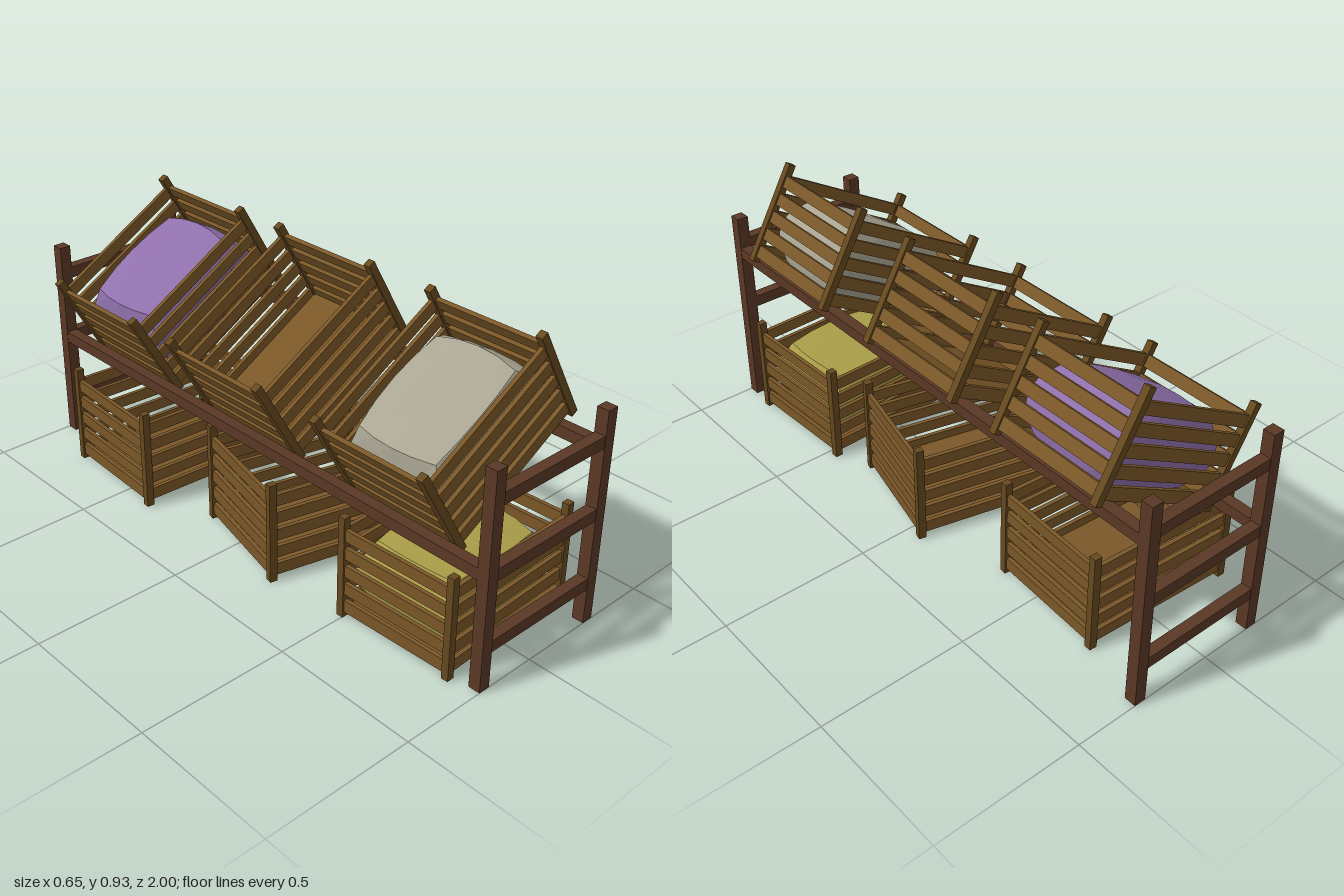
import * as THREE from 'three';

const mat = (color) => new THREE.MeshStandardMaterial({ color, flatShading: true });

function box(parent, name, material, size, pos) {
  const mesh = new THREE.Mesh(new THREE.BoxGeometry(...size), material);
  mesh.name = name;
  mesh.position.set(...pos);
  parent.add(mesh);
  return mesh;
}

// Faceted, pillow-shaped heap of goods filling a crate
function makeGoods(color) {
  const geo = new THREE.BoxGeometry(2, 2, 2, 4, 4, 4);
  const p = geo.attributes.position;
  for (let i = 0; i < p.count; i++) {
    const x = p.getX(i), y = p.getY(i), z = p.getZ(i);
    p.setXYZ(i,
      0.245 * x * Math.sqrt(1 - 0.36 * y * y - 0.12 * z * z),
      0.125 * y * Math.sqrt(1 - 0.1 * x * x - 0.15 * z * z),
      0.19 * z * Math.sqrt(1 - 0.3 * y * y - 0.12 * x * x));
  }
  geo.computeVertexNormals();
  const mesh = new THREE.Mesh(geo, mat(color));
  mesh.name = 'goods';
  mesh.position.y = 0.147;
  return mesh;
}

// Slatted crate standing on its local y = 0
function makeCrate(name, slatMat, postMat, goodsColor) {
  const L = 0.545, D = 0.43, H = 0.35, px = 0.026, pz = 0.024, t = 0.014;
  const cx = (L - px) / 2, cz = (D - pz) / 2;
  const crate = new THREE.Group();
  crate.name = name;
  for (const sx of [-1, 1])
    for (const sz of [-1, 1])
      box(crate, 'cratePost', postMat, [px, H, pz], [sx * cx, H / 2, sz * cz]);
  for (let i = 0; i < 5; i++) {
    const y = 0.04 + i * 0.0625;
    for (const s of [-1, 1]) {
      box(crate, 'longSlat', slatMat, [L - 2 * px, 0.04, t], [0, y, s * cz]);
      box(crate, 'endSlat', slatMat, [t, 0.04, D - 2 * pz], [s * cx, y, 0]);
    }
  }
  box(crate, 'crateFloor', slatMat, [L - 0.012, 0.012, D - 0.012], [0, 0.024, 0]);
  if (goodsColor !== undefined) crate.add(makeGoods(goodsColor));
  return crate;
}

export function createModel() {
  const model = new THREE.Group();
  model.name = 'crateRack';
  const frameMat = mat(0x5a3825), slatMat = mat(0x7a5728), postMat = mat(0x66491f);

  // Rack frame: corner posts, end rails, and two long rails at different heights
  const frame = new THREE.Group();
  frame.name = 'frame';
  model.add(frame);
  const xL = 0.267, xR = -0.196, mid = (xL + xR) / 2;
  for (const z of [-0.98, 0.98]) {
    for (const x of [xL, xR]) box(frame, 'framePost', frameMat, [0.04, 0.72, 0.04], [x, 0.36, z]);
    for (const y of [0.14, 0.38, 0.62])
      box(frame, 'endRail', frameMat, [xL - xR - 0.04, 0.04, 0.036], [mid, y, z]);
  }
  box(frame, 'highRail', frameMat, [0.038, 0.038, 1.92], [xL, 0.59, 0]);
  box(frame, 'lowRail', frameMat, [0.038, 0.038, 1.92], [xR, 0.382, 0]);

  // Tilted crates resting on the long rails: [z, goods colour]
  for (const [z, goods] of [[0.632, 0xaaa592], [-0.02, undefined], [-0.62, 0x8f70ab]]) {
    const crate = makeCrate('tiltedCrate', slatMat, postMat, goods);
    crate.position.set(0.085, 0.4955, z);
    crate.rotation.z = Math.PI / 6;
    model.add(crate);
  }

  // Crates on the ground, each turned a little: [x, z, turn, goods colour]
  const ground = [
    [0.018, 0.683, 0.04, 0xa99c48],
    [0.008, 0.083, -0.233, undefined],
    [-0.046, -0.566, -0.055, undefined],
  ];
  for (const [x, z, turn, goods] of ground) {
    const crate = makeCrate('groundCrate', slatMat, postMat, goods);
    crate.position.set(x, 0, z);
    crate.rotation.y = turn;
    model.add(crate);
  }
  return model;
}
